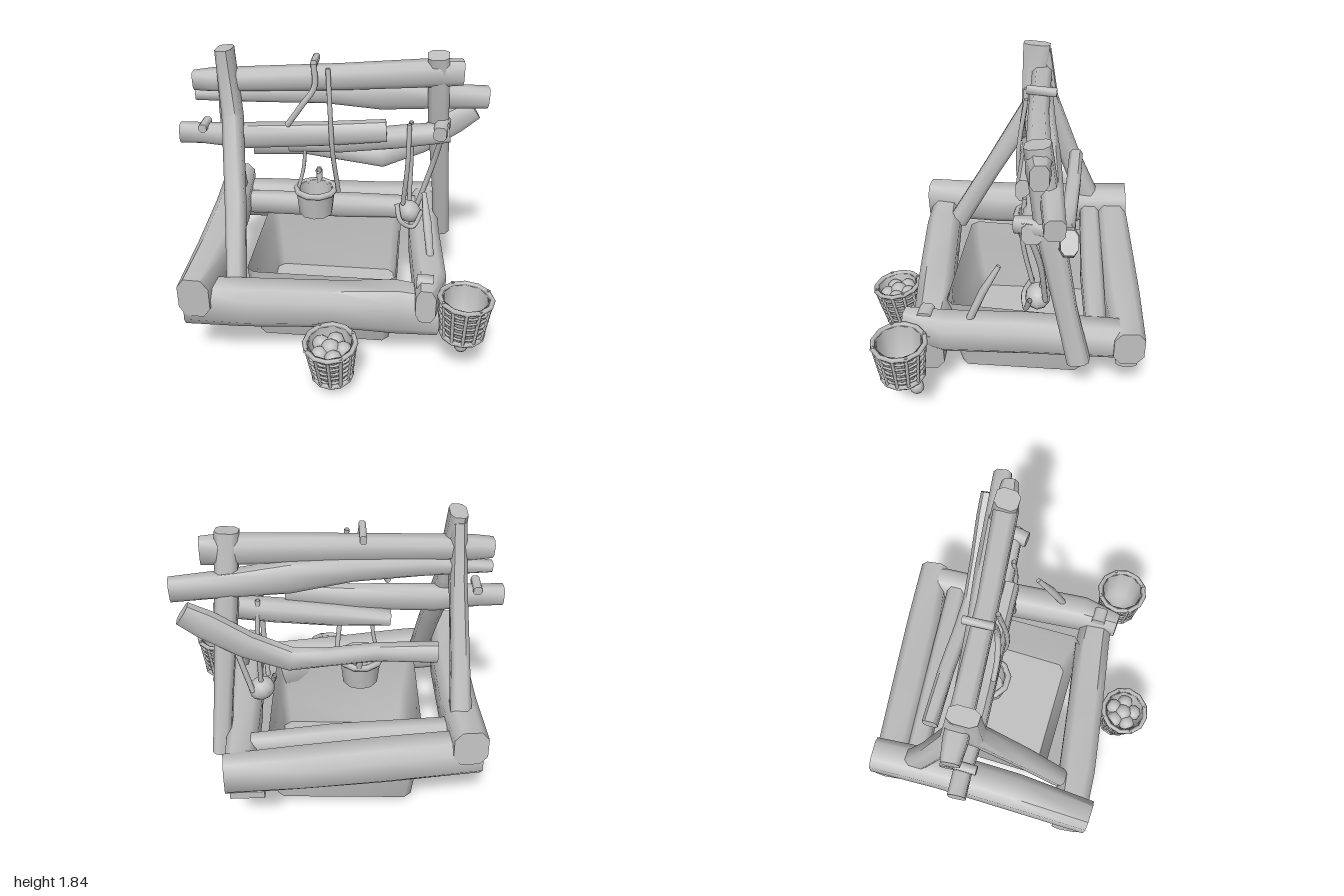
import * as THREE from 'three';
import { toCreasedNormals } from 'three/addons/utils/BufferGeometryUtils.js';

const V = (p) => new THREE.Vector3(p[0], p[1], p[2]);

export function createModel() {
  const model = new THREE.Group();
  const stone = new THREE.MeshStandardMaterial({ color: 0xc0c0c0, side: THREE.DoubleSide });
  stone.name = 'plain grey';

  const add = (name, geo, parent = model) => {
    const mesh = new THREE.Mesh(geo, stone);
    mesh.name = name;
    parent.add(mesh);
    return mesh;
  };

  // Hewn timber: chamfered sections [x, y, z, width, height] joined along a path
  const timber = (name, pts, { ref = [0, 1, 0], k = 0.55, openEnd = false } = {}) => {
    const pos = [], idx = [], n = 8;
    const ring = [[1, -k], [1, k], [k, 1], [-k, 1], [-1, k], [-1, -k], [-k, -1], [k, -1]];
    pts.forEach((p, i) => {
      const t = V(pts[Math.min(i + 1, pts.length - 1)]).sub(V(pts[Math.max(i - 1, 0)])).normalize();
      const side = t.clone().cross(V(ref)).normalize();
      const up = side.clone().cross(t);
      for (const [a, b] of ring) {
        pos.push(...V(p).addScaledVector(side, a * p[3] / 2).addScaledVector(up, b * p[4] / 2).toArray());
      }
    });
    for (let i = 0; i < pts.length - 1; i++) {
      for (let j = 0; j < n; j++) {
        const a = i * n + j, b = i * n + (j + 1) % n;
        idx.push(a, a + n, b, b, a + n, b + n);
      }
    }
    const last = (pts.length - 1) * n;
    for (let j = 1; j < n - 1; j++) {
      idx.push(0, j, j + 1);
      if (!openEnd) idx.push(last, last + j + 1, last + j);
    }
    const geo = new THREE.BufferGeometry();
    geo.setAttribute('position', new THREE.Float32BufferAttribute(pos, 3));
    geo.setIndex(idx);
    return add(name, toCreasedNormals(geo, 0.9));
  };
  const post = (name, pts) => timber(name, pts, { ref: [0, 0, 1] });

  const rope = (name, pts, r = 0.014, parent = model) =>
    add(name, new THREE.TubeGeometry(new THREE.CatmullRomCurve3(pts.map(V)), pts.length * 5, r, 6), parent);

  // Well pit, open at the top
  timber('wellPit', [
    [-0.065, 0.03, -0.13, 0.85, 0.78],
    [-0.065, 0.2, -0.12, 0.88, 0.84],
    [-0.07, 0.4, -0.11, 0.91, 0.89],
    [-0.07, 0.54, -0.11, 0.94, 0.9],
  ], { ref: [0, 0, 1], k: 0.9, openEnd: true });

  // Base frame
  timber('frontLog', [
    [-0.86, 0.47, 0.58, 0.2, 0.27], [-0.5, 0.455, 0.545, 0.23, 0.27],
    [0, 0.435, 0.48, 0.23, 0.26], [0.4, 0.4, 0.42, 0.23, 0.31], [0.67, 0.37, 0.4, 0.2, 0.28],
  ]);
  timber('backLog', [
    [-0.86, 0.55, -0.62, 0.2, 0.25], [-0.3, 0.53, -0.68, 0.22, 0.25],
    [0.2, 0.52, -0.74, 0.22, 0.23], [0.63, 0.52, -0.8, 0.18, 0.22],
  ]);
  timber('innerBackLog', [
    [-0.68, 0.59, -0.48, 0.13, 0.14], [0, 0.57, -0.54, 0.14, 0.16], [0.55, 0.55, -0.6, 0.12, 0.14],
  ]);
  timber('leftSideLog', [
    [-0.78, 0.56, 0.69, 0.19, 0.26], [-0.76, 0.58, 0.2, 0.22, 0.26],
    [-0.76, 0.62, -0.3, 0.22, 0.25], [-0.79, 0.66, -0.73, 0.2, 0.22],
  ]);
  timber('rightSideLog', [
    [0.58, 0.5, 0.55, 0.12, 0.22], [0.6, 0.5, 0.3, 0.2, 0.23],
    [0.56, 0.51, -0.2, 0.2, 0.23], [0.54, 0.52, -0.75, 0.18, 0.22],
  ]);
  // Stub ends under and beside the frame
  timber('frontStub', [[0.52, 0.585, 0.42, 0.09, 0.09], [0.62, 0.585, 0.42, 0.09, 0.09]]);
  timber('backStub', [[0.4, 0.4, -0.78, 0.13, 0.09], [0.6, 0.4, -0.79, 0.13, 0.09]]);

  // Posts
  post('leftFrontPost', [
    [-0.575, 0.52, 0.45, 0.11, 0.13], [-0.61, 0.95, 0.21, 0.12, 0.12],
    [-0.66, 1.42, -0.06, 0.12, 0.14], [-0.69, 1.84, -0.08, 0.1, 0.17],
  ]);
  post('leftBackPost', [
    [-0.76, 0.6, -0.5, 0.13, 0.15], [-0.74, 1.0, -0.33, 0.11, 0.13],
    [-0.71, 1.45, -0.16, 0.1, 0.13], [-0.69, 1.79, -0.1, 0.09, 0.14],
  ]);
  post('rightPost', [
    [0.68, 0.44, -0.51, 0.11, 0.13], [0.655, 0.8, -0.42, 0.11, 0.12],
    [0.61, 1.35, -0.3, 0.13, 0.15], [0.585, 1.79, -0.23, 0.13, 0.14],
  ]);

  // Beams
  timber('ridgeBeam', [
    [-0.9, 1.625, -0.1, 0.1, 0.11], [-0.78, 1.63, -0.11, 0.13, 0.13], [0, 1.655, -0.17, 0.12, 0.15],
    [0.6, 1.68, -0.24, 0.14, 0.16], [0.74, 1.68, -0.26, 0.1, 0.15],
  ]);
  timber('upperBackBeam', [
    [-0.9, 1.52, -0.13, 0.07, 0.06], [-0.5, 1.54, -0.16, 0.1, 0.11], [-0.1, 1.54, -0.21, 0.11, 0.13],
    [0.25, 1.52, -0.26, 0.13, 0.18], [0.65, 1.5, -0.32, 0.12, 0.14], [0.91, 1.49, -0.36, 0.11, 0.13],
  ]);
  timber('axleBeam', [
    [-1, 1.29, -0.06, 0.1, 0.12], [-0.86, 1.29, -0.07, 0.1, 0.12],
    [-0.6, 1.28, -0.08, 0.12, 0.15], [-0.1, 1.3, -0.11, 0.11, 0.14], [0.29, 1.33, -0.13, 0.1, 0.13],
  ]);
  timber('rollerBeam', [
    [-0.33, 1.19, -0.17, 0.1, 0.08], [0, 1.22, -0.18, 0.13, 0.12],
    [0.35, 1.26, -0.2, 0.13, 0.13], [0.68, 1.3, -0.22, 0.11, 0.12],
  ]);
  timber('curvedBeam', [
    [-0.6, 1.085, -0.37, 0.09, 0.12], [-0.25, 1.09, -0.38, 0.09, 0.1], [0.05, 1.05, -0.38, 0.09, 0.1],
    [0.25, 1.035, -0.38, 0.1, 0.13], [0.5, 1.15, -0.4, 0.1, 0.15],
    [0.72, 1.3, -0.42, 0.1, 0.16], [0.84, 1.38, -0.43, 0.09, 0.13],
  ]);
  timber('axlePeg', [[-0.84, 1.35, -0.13, 0.05, 0.05], [-0.84, 1.35, 0.01, 0.05, 0.05]]);

  // Hook and ropes of the hanging bucket
  timber('ridgeHook', [[-0.16, 1.745, -0.26, 0.04, 0.05], [-0.155, 1.755, -0.08, 0.04, 0.05]]);
  rope('hookRope', [[-0.155, 1.76, -0.08], [-0.15, 1.62, -0.07], [-0.23, 1.5, -0.05], [-0.32, 1.37, -0.05]], 0.018);
  rope('bucketRope', [[-0.07, 1.73, -0.09], [-0.05, 1.4, -0.05], [-0.04, 1.2, -0.06], [-0.01, 0.88, -0.14]], 0.015);
  rope('bucketSideRope', [[-0.22, 1.22, -0.13], [-0.235, 1.05, -0.14], [-0.27, 0.9, -0.14]], 0.013);

  // Small vessel profile: tapered wall with an inner face
  const vessel = (rb, rt, h, w) => new THREE.LatheGeometry(
    [[0, 0], [rb, 0], [rt, h], [rt - w, h], [rb - w, w], [0, w]].map(([x, y]) => new THREE.Vector2(x, y)), 10);

  // Bucket
  const bucket = new THREE.Group();
  bucket.name = 'bucket';
  bucket.position.set(-0.16, 0.72, -0.15);
  model.add(bucket);
  add('bucketWall', toCreasedNormals(vessel(0.11, 0.13, 0.18, 0.02), 0.7), bucket);
  const rim = add('bucketRim', new THREE.TorusGeometry(0.127, 0.02, 6, 10), bucket);
  rim.rotation.x = Math.PI / 2;
  rim.position.y = 0.17;
  rope('bucketLug', [[0.01, 0.17, -0.12], [0.01, 0.25, -0.12], [0.01, 0.27, -0.06]], 0.02, bucket);

  // Woven basket: thin liner, staves and staggered weave bands
  const basket = (name, x, y, z, tiltX, tiltZ, rb, rt, h) => {
    const g = new THREE.Group();
    g.name = name;
    g.position.set(x, y, z);
    g.rotation.set(tiltX, 0, tiltZ);
    model.add(g);
    add('basketLiner', vessel(rb - 0.012, rt - 0.012, h, 0.01), g);
    for (let i = 0; i < 12; i++) {
      const a = i / 12 * Math.PI * 2, c = Math.cos(a), s = Math.sin(a);
      rope('basketStave', [[c * rb, 0, s * rb], [c * (rb + rt) / 2, h / 2, s * (rb + rt) / 2],
        [c * rt, h + (i % 3) * 0.008, s * rt]], 0.011, g);
    }
    for (let i = 0; i <= 6; i++) {
      const edge = i === 0 || i === 6;
      const hoop = add('basketHoop', new THREE.TorusGeometry(rb + (rt - rb) * i / 6, edge ? 0.016 : 0.009, 5, 12), g);
      hoop.rotation.set(Math.PI / 2, 0, i * 0.26);
      hoop.position.y = h * i / 6;
    }
    return g;
  };
  const round = (name, r, x, y, z, parent, sy = 1) => {
    const m = add(name, new THREE.SphereGeometry(r, 8, 6), parent);
    m.position.set(x, y, z);
    m.scale.y = sy;
  };

  const frontBasket = basket('frontBasket', 0.045, 0.1, 0.715, 0.16, 0.04, 0.115, 0.15, 0.26);
  for (let i = 0; i < 5; i++) {
    round('basketFruit', 0.055, Math.cos(i * 1.257) * 0.075, 0.2, Math.sin(i * 1.257) * 0.075, frontBasket);
  }
  round('basketFruit', 0.06, 0, 0.21, 0, frontBasket);

  const sideBasket = basket('sideBasket', 0.805, 0.315, 0.52, 0.02, -0.03, 0.125, 0.155, 0.25);
  for (const [x, z] of [[-0.05, -0.06], [0.04, -0.09], [0, 0.04]]) round('hangingBob', 0.045, x, -0.06, z, sideBasket, 1.1);

  // Hanging sack and its straps by the right post
  const sack = add('sack', new THREE.SphereGeometry(0.085, 10, 8), model);
  sack.position.set(0.45, 0.71, -0.24);
  sack.scale.set(1, 0.85, 0.9);
  sack.rotation.z = -0.5;
  rope('sackLoop', [[0.37, 0.78, -0.2], [0.4, 0.68, -0.15], [0.48, 0.63, -0.17], [0.54, 0.74, -0.2]], 0.016);
  rope('sackStrap', [[0.43, 1.37, -0.15], [0.43, 1.1, -0.14], [0.41, 0.78, -0.2]], 0.015);
  rope('sackStrap', [[0.44, 1.35, -0.24], [0.45, 1.1, -0.28], [0.45, 0.78, -0.26]], 0.015);
  rope('postRope', [[0.65, 1.36, -0.17], [0.59, 1.05, -0.26], [0.5, 0.72, -0.29]], 0.018);
  timber('leaningStick', [[0.54, 0.97, -0.02, 0.025, 0.025], [0.57, 0.8, 0.07, 0.05, 0.04], [0.6, 0.6, 0.15, 0.04, 0.04]]);
  timber('ropeCollar', [[0.62, 1.32, -0.12, 0.08, 0.09], [0.64, 1.33, -0.3, 0.1, 0.1]]);

  return model;
}
